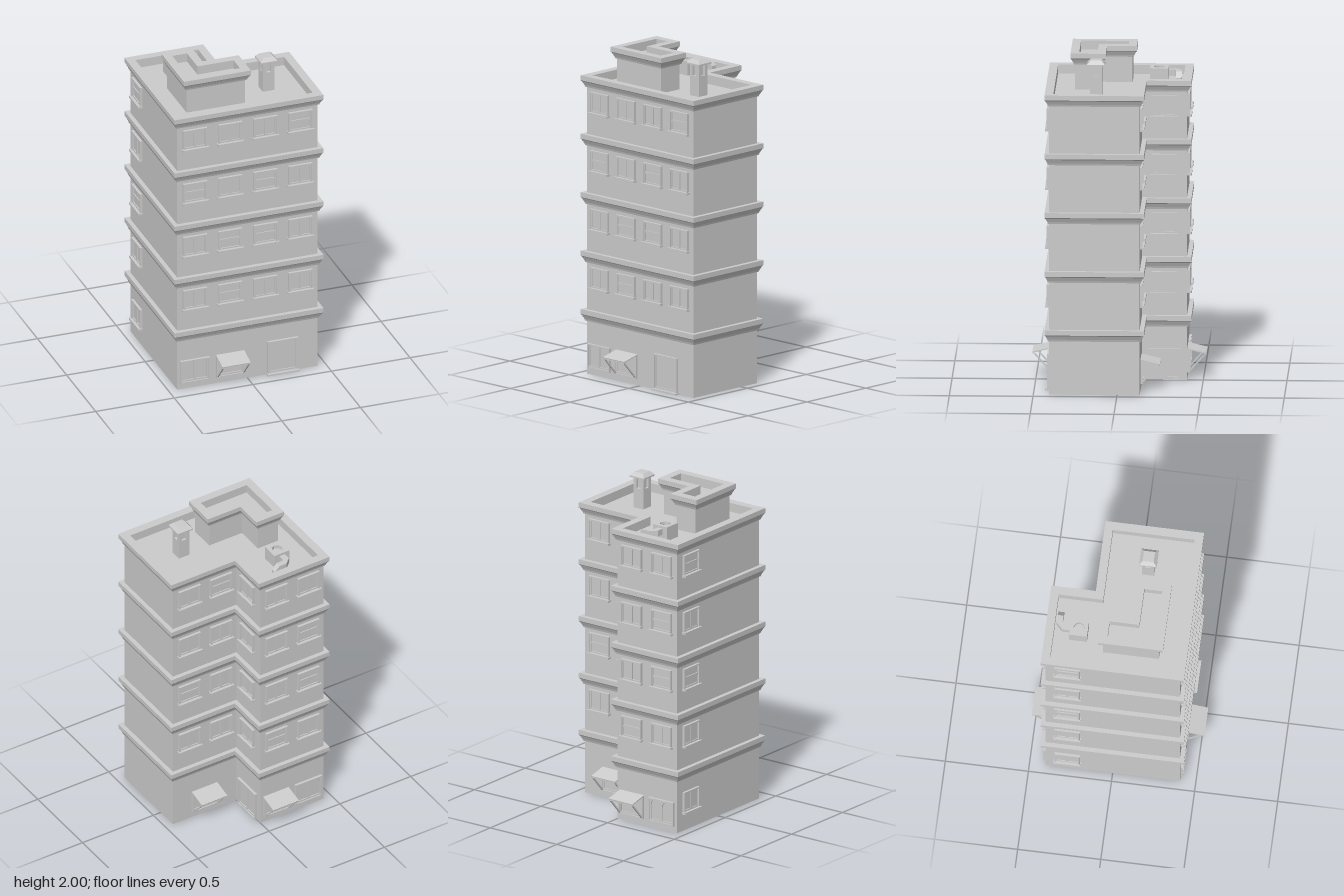
import * as THREE from 'three';

const MAT = new THREE.MeshStandardMaterial({ color: 0xcccccc, flatShading: true });

function add(parent, name, geo, x = 0, y = 0, z = 0) {
  const m = new THREE.Mesh(geo, MAT);
  m.name = name;
  m.position.set(x, y, z);
  parent.add(m);
  return m;
}
const box = (w, h, d) => new THREE.BoxGeometry(w, h, d);

// L-shaped outline as [x, z] corners, pushed outward by o
const outline = ({ x0, x1, z0, z1, nx, nz }, o = 0) => [
  [x0 - o, z1 + o], [x1 + o, z1 + o], [x1 + o, nz - o],
  [nx + o, nz - o], [nx + o, z0 - o], [x0 - o, z0 - o],
];

// Upright block over an outline of [x, z] points
function block(points, y0, y1) {
  const shape = new THREE.Shape(points.map(([x, z]) => new THREE.Vector2(x, -z)));
  const g = new THREE.ExtrudeGeometry(shape, { depth: y1 - y0, bevelEnabled: false });
  return g.rotateX(-Math.PI / 2).translate(0, y0, 0);
}

// Closed moulding: sweep a profile of [offset, y] round the L outline
function moulding(plan, profile) {
  const rings = profile.map(([o, y]) => outline(plan, o).map(([x, z]) => [x, y, z]));
  const pos = [];
  rings.forEach((ring, j) => {
    const next = rings[(j + 1) % rings.length];
    ring.forEach((a, i) => {
      const k = (i + 1) % ring.length;
      pos.push(...a, ...ring[k], ...next[k], ...a, ...next[k], ...next[i]);
    });
  });
  const g = new THREE.BufferGeometry();
  g.setAttribute('position', new THREE.Float32BufferAttribute(pos, 3));
  g.computeVertexNormals();
  return g;
}

// Cornice profile: sloping underside, upright lip, inner face down to yIn
const corniceProfile = (y, inner, yIn) => [
  [inner, yIn], [0.007, y], [0.011, y + 0.012], [0.022, y + 0.034],
  [0.027, y + 0.04], [0.027, y + 0.07], [inner, y + 0.07],
];

// Rectangular path, optionally with an arched head
function rectPath(Type, x0, y0, x1, y1, arch = false) {
  const p = new Type();
  const r = (x1 - x0) / 2;
  p.moveTo(x0, y0).lineTo(x1, y0);
  if (arch) p.lineTo(x1, y1 - r).absarc((x0 + x1) / 2, y1 - r, r, 0, Math.PI, false);
  else p.lineTo(x1, y1).lineTo(x0, y1);
  p.closePath();
  return p;
}

// Flat frame of size w x h (bottom centre at origin) with the given holes
function frame(w, h, holes, depth, arch = false) {
  const s = rectPath(THREE.Shape, -w / 2, 0, w / 2, h);
  holes.forEach((q) => s.holes.push(rectPath(THREE.Path, ...q, arch)));
  return new THREE.ExtrudeGeometry(s, { depth, bevelEnabled: false, curveSegments: 8 });
}

// Window or door, built facing +z; kind: C side by side, S stacked, A arched pair, P single
function opening(name, kind, w, h, sill = true) {
  const g = new THREE.Group();
  g.name = name;
  const m = 0.009, e = 0.015, b = 0.007;
  add(g, 'outerFrame', frame(w, h, [[-w / 2 + m, m, w / 2 - m, h - m]], 0.016));
  const l = -w / 2 + e, r = w / 2 - e, t = h - e;
  const panes = {
    C: [[l, e, -b, t], [b, e, r, t]],
    A: [[l, e, -b, t], [b, e, r, t]],
    S: [[l, e, r, h / 2 - b], [l, h / 2 + b, r, t]],
    P: [[l, e, r, t]],
  }[kind];
  add(g, 'sash', frame(w - m, h - m, panes, 0.009, kind === 'A'), 0, m / 2, 0);
  add(g, 'pane', box(w - m, h - m, 0.004), 0, h / 2, 0.001);
  if (sill) add(g, 'sill', box(w + 0.012, 0.013, 0.027), 0, 0.004, 0.0135);
  return g;
}

// Sloping awning on two slanted struts
function awning(w) {
  const g = new THREE.Group();
  g.name = 'awning';
  const out = 0.115, drop = 0.028;
  const slab = add(g, 'canopy', box(w, 0.007, Math.hypot(out, drop)), 0, 0.172, out / 2);
  slab.rotation.x = Math.atan2(drop, out);
  add(g, 'canopyLip', box(w, 0.012, 0.006), 0, 0.156, out - 0.003);
  for (const s of [-1, 1]) {
    const strut = add(g, 'strut', box(0.008, 0.135, 0.008), s * (w / 2 - 0.008), 0.1, 0.059);
    strut.rotation.x = Math.atan2(0.095, 0.105);
  }
  return g;
}

export function createModel() {
  const root = new THREE.Group();
  root.name = 'apartmentBuilding';
  const plan = { x0: -0.446, x1: 0.448, z0: -0.403, z1: 0.405, nx: 0, nz: -0.135 };

  // Main walls, with the flat roof as their top
  add(root, 'walls', block(outline(plan), 0, 1.775));
  const pitch = 0.3585;
  for (let i = 0; i < 5; i++) {
    const y = 0.326 + i * pitch, top = i === 4;
    add(root, top ? 'parapet' : 'cornice',
      moulding(plan, corniceProfile(y, -0.024, y)));
  }

  // Rooftop room with its own parapet
  const room = { x0: -0.334, x1: 0.038, z0: -0.072, z1: 0.264, nx: -0.192, nz: 0.107 };
  add(root, 'roofRoom', block(outline(room), 1.77, 1.945));
  add(root, 'roofRoomParapet', moulding(room, corniceProfile(1.93, -0.024, 1.93)));

  // Wall faces: place an opening at position u along the wall
  const walls = {
    front: (u) => [u, plan.z1, 0],
    backMain: (u) => [u, plan.nz, Math.PI],
    backWing: (u) => [u, plan.z0, Math.PI],
    notch: (u) => [plan.nx, u, Math.PI / 2],
    right: (u) => [plan.x0, u, -Math.PI / 2],
  };
  const place = (part, wall, u, y) => {
    const [x, z, turn] = walls[wall](u);
    part.position.set(x, y, z);
    part.rotation.y = turn;
    root.add(part);
  };

  // Upper windows, floor by floor from the second up
  const rows = [
    ['front', [-0.335, -0.112, 0.112, 0.335], ['CSCC', 'CSSC', 'SCSC', 'CCCS']],
    ['backMain', [0.335, 0.112], ['CC', 'SC', 'CC', 'CS']],
    ['backWing', [-0.11, -0.335], ['SC', 'CS', 'CS', 'CC']],
    ['notch', [-0.268], ['C', 'C', 'C', 'C']],
    ['right', [-0.272], ['C', 'S', 'C', 'S']],
  ];
  for (const [wall, us, floors] of rows)
    floors.forEach((kinds, f) => us.forEach((u, i) =>
      place(opening('window', kinds[i], 0.152, 0.135), wall, u, 0.527 + f * pitch)));

  // Ground floor windows, awnings and doors
  place(opening('window', 'C', 0.152, 0.135), 'right', -0.272, 0.108);
  place(opening('shopWindow', 'C', 0.185, 0.15, false), 'front', -0.337, 0.04);
  place(opening('archedWindow', 'A', 0.185, 0.15, false), 'backWing', -0.335, 0.04);
  for (const [wall, u] of [['front', -0.11], ['backWing', -0.11], ['backMain', 0.225]]) {
    place(opening('awningWindow', 'P', 0.18, 0.145, false), wall, u, 0.04);
    place(awning(0.18), wall, u, 0);
  }
  place(opening('frontDoor', 'P', 0.195, 0.22, false), 'front', 0.223, 0.002);
  add(root, 'doorStep', box(0.205, 0.01, 0.03), 0.223, 0.005, plan.z1 + 0.015);
  place(opening('courtDoor', 'C', 0.197, 0.19, false), 'notch', -0.268, 0.004);

  // Chimney: shaft, slotted head and bevelled cap
  const chimney = new THREE.Group();
  chimney.name = 'chimney';
  chimney.position.set(0.223, 0, 0.132);
  root.add(chimney);
  add(chimney, 'shaft', box(0.074, 0.13, 0.074), 0, 1.835, 0);
  add(chimney, 'flueCore', box(0.044, 0.07, 0.044), 0, 1.93, 0);
  for (const sx of [-1, 1]) for (const sz of [-1, 1])
    add(chimney, 'post', box(0.022, 0.068, 0.022), sx * 0.026, 1.934, sz * 0.026);
  add(chimney, 'capRim', box(0.106, 0.01, 0.106), 0, 1.972, 0);
  const cap = new THREE.CylinderGeometry(0.033 * Math.SQRT2, 0.053 * Math.SQRT2, 0.022, 4);
  add(chimney, 'cap', cap.rotateY(Math.PI / 4), 0, 1.988, 0);

  // Rooftop ventilation unit: box with a round opening, and a bent duct
  const vent = new THREE.Group();
  vent.name = 'ventilationUnit';
  root.add(vent);
  const s = rectPath(THREE.Shape, -0.053, -0.054, 0.053, 0.054);
  s.holes.push(new THREE.Path().absarc(0, 0, 0.033, 0, Math.PI * 2, true));
  const shell = new THREE.ExtrudeGeometry(s, { depth: 0.09, bevelEnabled: false, curveSegments: 4 });
  add(vent, 'unitShell', shell.rotateX(-Math.PI / 2), -0.228, 1.773, -0.23);
  add(vent, 'fanPlate', box(0.09, 0.05, 0.09), -0.228, 1.815, -0.23);
  const duct = [[-0.248, -0.28], [-0.21, -0.28], [-0.21, -0.322], [-0.2, -0.332],
    [-0.16, -0.332], [-0.16, -0.367], [-0.208, -0.367], [-0.248, -0.33]];
  add(vent, 'duct', block(duct, 1.81, 1.848));
  // sloping end of the duct
  const end = new THREE.Shape([[-0.16, 1.848], [-0.16, 1.81], [-0.15, 1.775], [-0.126, 1.775],
    [-0.126, 1.815]].map(([x, y]) => new THREE.Vector2(x, y)));
  add(vent, 'ductEnd', new THREE.ExtrudeGeometry(end, { depth: 0.035, bevelEnabled: false }), 0, 0, -0.367);
  return root;
}
